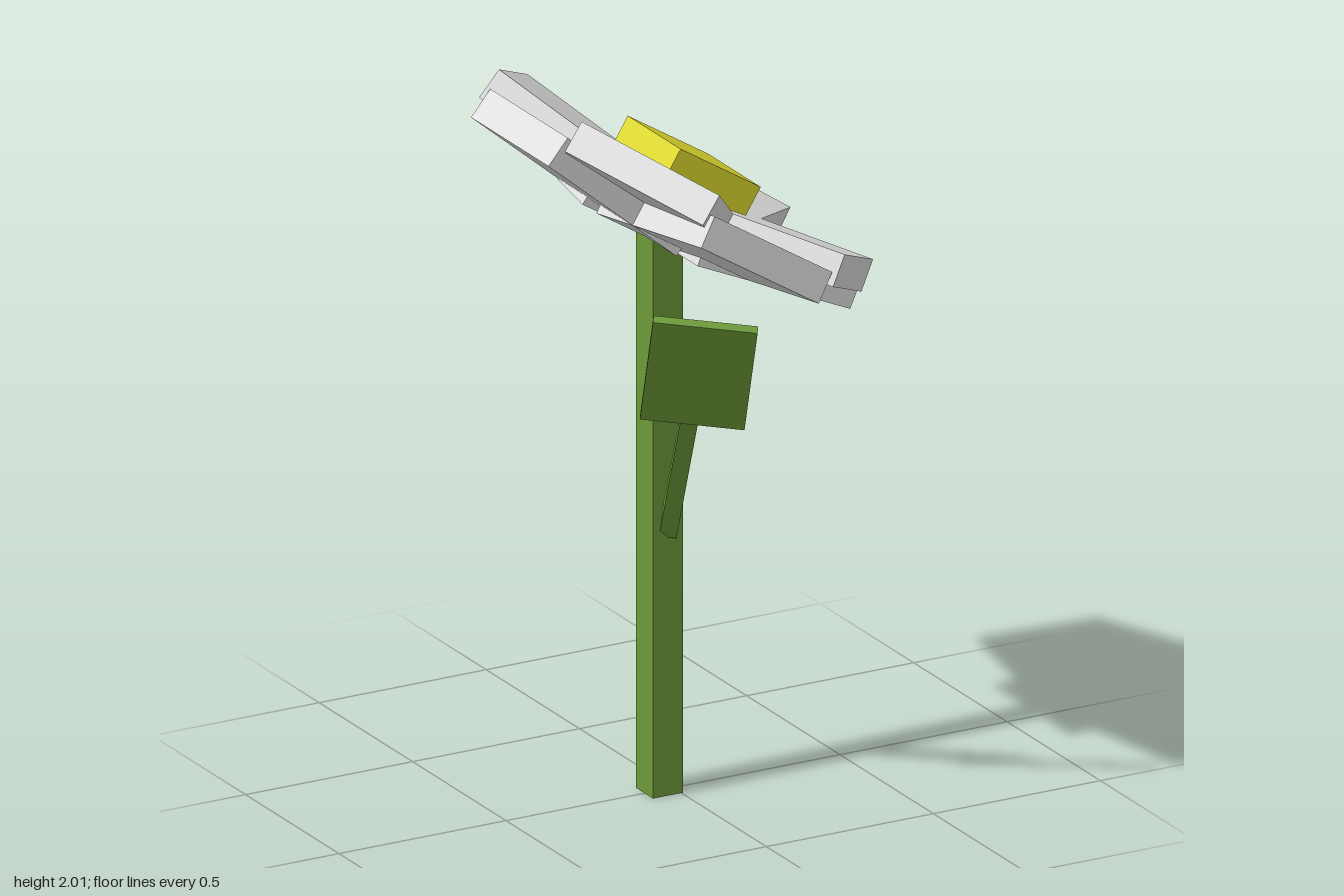
import * as THREE from 'three';

export function createModel() {
  const model = new THREE.Group();
  const mat = (name, color) => {
    const m = new THREE.MeshStandardMaterial({ color });
    m.name = name;
    return m;
  };
  const green = mat('stemGreen', 0x6c9a38);
  const white = mat('petalWhite', 0xe0e0e0);
  const yellow = mat('centreYellow', 0xdeda2e);

  const box = (name, parent, material, size, pos) => {
    const mesh = new THREE.Mesh(new THREE.BoxGeometry(...size), material);
    mesh.name = name;
    mesh.position.set(...pos);
    parent.add(mesh);
    return mesh;
  };

  // Turn a box so its height follows `up` and its width stays near `side`
  const orient = (mesh, side, up) => {
    const y = new THREE.Vector3(...up).normalize();
    const z = new THREE.Vector3(...side).cross(y).normalize();
    const x = y.clone().cross(z);
    mesh.quaternion.setFromRotationMatrix(new THREE.Matrix4().makeBasis(x, y, z));
  };

  // Square stem
  box('stem', model, green, [0.09, 1.58, 0.09], [-0.04, 0.79, 0]);

  // Slanting leaf stalk and flat leaf
  const leafSide = [0.2425, -0.0275, 0.14];
  const stalk = box('leafStalk', model, green, [0.046, 0.52, 0.046], [-0.068, 0.955, 0.158]);
  orient(stalk, leafSide, [-0.075, 0.435, 0.255]);
  const leaf = box('leaf', model, green, [0.275, 0.375, 0.025], [-0.129, 1.304, 0.37]);
  orient(leaf, leafSide, [-0.0525, 0.3375, 0.165]);

  // Flower head, leaning towards +x
  const head = new THREE.Group();
  head.name = 'flowerHead';
  head.position.set(0.01, 1.687, 0);
  head.rotation.z = THREE.MathUtils.degToRad(-32);
  model.add(head);

  // Eight petals in two layers; each tips up at its outer end to form a dish
  const radius = 0.52, length = 0.5, thick = 0.09;
  for (let i = 0; i < 8; i++) {
    const upper = i % 2 === 1;
    const spoke = new THREE.Group();
    spoke.name = upper ? 'upperPetal' : 'lowerPetal';
    spoke.rotation.y = (i * Math.PI) / 4;
    const hinge = new THREE.Group();
    hinge.position.set(radius, upper ? 0.055 : 0, 0);
    hinge.rotation.z = THREE.MathUtils.degToRad(8);
    box('petal', hinge, white, [length, thick, 0.415], [-length / 2, -thick / 2, 0]);
    spoke.add(hinge);
    head.add(spoke);
  }

  // Square flower centre
  box('flowerCentre', head, yellow, [0.283, 0.14, 0.283], [0.004, 0.025, 0]);

  return model;
}
